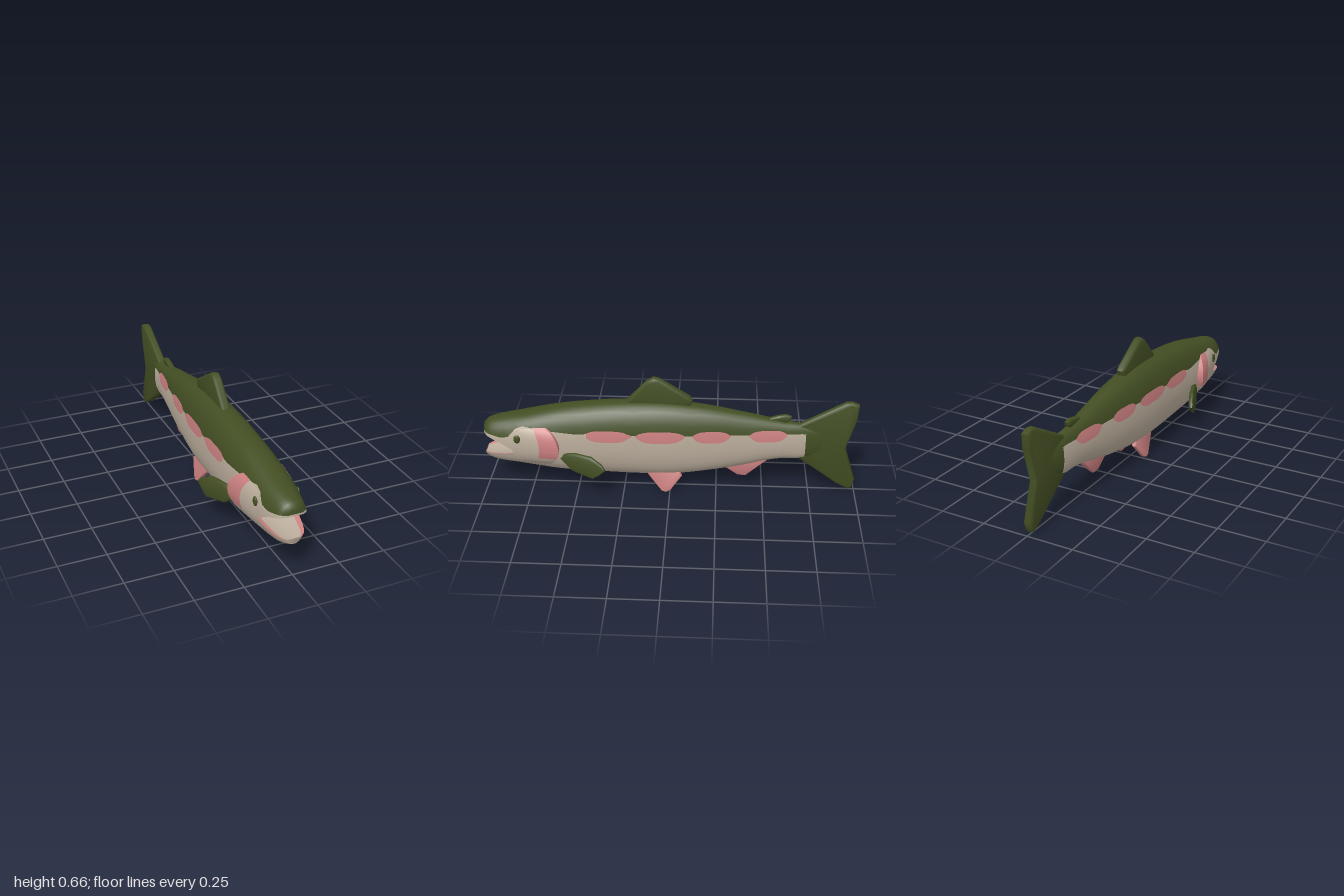
import * as THREE from 'three';
import { toCreasedNormals } from 'three/addons/utils/BufferGeometryUtils.js';

const mat = (name, color) => {
  const m = new THREE.MeshStandardMaterial({ color, side: THREE.DoubleSide });
  m.name = name;
  return m;
};

// smooth or straight interpolation of [z, value] pairs, z ascending
const curve = (pairs, Kind = THREE.CubicInterpolant) => {
  const f = new Kind(pairs.map(p => p[0]), pairs.map(p => p[1]), 1);
  return z => f.evaluate(z)[0];
};
const line = pairs => curve(pairs, THREE.LinearInterpolant);

// body profiles along z
const top = curve([[-0.86, 0.37], [-0.7, 0.405], [-0.6, 0.42], [-0.4, 0.46], [-0.2, 0.497], [0, 0.518],
  [0.2, 0.52], [0.4, 0.506], [0.6, 0.48], [0.8, 0.436], [0.94, 0.405], [0.98, 0.39], [1, 0.37]]);
const bottom = curve([[-0.86, 0.24], [-0.7, 0.197], [-0.6, 0.195], [-0.5, 0.178], [-0.4, 0.152], [-0.2, 0.113],
  [0, 0.087], [0.2, 0.087], [0.4, 0.095], [0.6, 0.106], [0.8, 0.138], [0.96, 0.16], [1, 0.178]]);
const width = curve([[-0.86, 0.014], [-0.7, 0.04], [-0.6, 0.052], [-0.4, 0.074], [-0.2, 0.095], [0, 0.11],
  [0.2, 0.116], [0.6, 0.117], [0.8, 0.112], [0.9, 0.097], [0.96, 0.083], [0.98, 0.074], [1, 0.05]]);
// lower edge of the green back, and the edges of the mouth
const backEdge = line([[-0.86, 0.33], [-0.7, 0.36], [-0.2, 0.367], [0.5, 0.368], [0.66, 0.38], [0.78, 0.395],
  [0.82, 0.38], [0.86, 0.335], [0.9, 0.325], [1, 0.34]]);
const upperLip = line([[-0.86, 0.27], [-0.7, 0.24], [0.82, 0.24], [0.86, 0.27], [0.92, 0.3], [1, 0.33]]);
const lowerLip = line([[-0.86, 0.27], [-0.7, 0.24], [0.82, 0.24], [0.88, 0.225], [1, 0.208]]);

// half width of the rounded section at height y
const sideX = (y, z) => {
  const t = Math.abs((2 * y - top(z) - bottom(z)) / (top(z) - bottom(z)));
  return width(z) * Math.pow(Math.max(0, 1 - Math.pow(t, 2.3)), 1 / 2.3);
};

// pink blotches along the flank: [centre, half length]
const blotches = [[0.33, 0.12], [0.05, 0.13], [-0.22, 0.1], [-0.52, 0.1]];
const blotch = z => Math.max(0, ...blotches.map(([c, h]) => 1 - Math.pow(Math.abs(z - c) / h, 4)));

// collects quads by material index and makes one mesh
function surface(name, materials) {
  const lists = materials.map(() => []);
  return {
    quad(m, a, b, c, d, flip) {
      const q = flip ? [d, c, b, a] : [a, b, c, d];
      for (const k of [0, 1, 2, 0, 2, 3]) lists[m].push(...q[k]);
    },
    mesh() {
      const g = new THREE.BufferGeometry();
      g.setAttribute('position', new THREE.Float32BufferAttribute(lists.flat(), 3));
      let start = 0;
      lists.forEach((l, i) => { g.addGroup(start, l.length / 3, i); start += l.length / 3; });
      const mesh = new THREE.Mesh(toCreasedNormals(g, 1.0), materials);
      mesh.name = name;
      return mesh;
    },
  };
}

// heights of the section rows from back to belly
function rows(z) {
  const p = blotch(z), u = backEdge(z) + 0.022 * p, l = Math.min(u - 0.008, backEdge(z) - 0.008 - 0.036 * p);
  const t = top(z), b = bottom(z), ul = upperLip(z), ll = lowerLip(z), ys = [];
  for (let k = 0; k <= 6; k++) ys.push(t - (t - u) * (k / 6) ** 2);
  for (let k = 0; k <= 4; k++) ys.push(l + (ul - l) * k / 4);
  for (let k = 0; k <= 7; k++) ys.push(b + (ll - b) * (1 - k / 7) ** 2);
  return ys;
}

function body(mats) {
  const s = surface('body', mats), n = 93, stations = [];
  for (let i = 0; i <= n; i++) {
    const z = -0.86 + 0.02 * i;
    stations.push(rows(z).map(y => [sideX(y, z), y, z]));
  }
  const mirror = p => [-p[0], p[1], p[2]];
  const count = stations[0].length;
  for (let j = 0; j < count - 1; j++) {
    if (j === 11 - 1 + 1) continue; // mouth opening
    for (let i = 0; i < n; i++) {
      const z = -0.85 + 0.02 * i;
      const m = z < -0.715 || j < 6 ? 0 : j === 6 && blotch(z) > 0 ? 2 : 1;
      const q = [stations[i][j], stations[i + 1][j], stations[i + 1][j + 1], stations[i][j + 1]];
      s.quad(m, ...q, false);
      s.quad(m, ...q.map(mirror), true);
    }
    // jaw tips
    const a = stations[n][j], b = stations[n][j + 1];
    s.quad(j < 6 ? 0 : 1, a, mirror(a), mirror(b), b, false);
  }
  return s.mesh();
}

// mouth lining: pink palate above, pale floor below, meeting at the throat
function mouth(mats) {
  const s = surface('mouthLining', mats);
  for (const up of [true, false]) {
    const point = (i, j) => {
      if (i === 0) return [0, 0.28, 0.7];
      const z = 0.8 + 0.02 * i, u = j / 4 - 1;
      const y = up ? upperLip(z) : lowerLip(z);
      const bow = up ? 0.3 * (top(z) - y) : 0.3 * (bottom(z) - y);
      return [u * sideX(y, z), y + bow * (1 - u * u), z];
    };
    for (let i = 0; i < 10; i++) for (let j = 0; j < 8; j++) {
      const m = up || j === 0 || j === 7 ? 2 : 1;
      s.quad(m, point(i, j), point(i, j + 1), point(i + 1, j + 1), point(i + 1, j), !up);
    }
  }
  return s.mesh();
}

// flared cheek and gill cover with a pink rear edge
function gillCover(mats, side) {
  const s = surface(side > 0 ? 'leftGillCover' : 'rightGillCover', mats), nu = 12, nv = 12;
  const point = (i, j) => {
    const u = Math.min(i, nu) / nu, v = j / nv;
    const b = Math.pow(Math.max(0, Math.sin(Math.PI * v)), 0.7);
    const y = 0.165 + 0.235 * v, z = 0.84 + (0.66 - 0.075 * b - 0.84) * u;
    const out = i > nu ? -0.01 : -0.004 + 0.04 * u * b;
    return [side * (sideX(y, z) + out), y, z];
  };
  for (let i = 0; i <= nu; i++) for (let j = 0; j < nv; j++) {
    const pink = i >= 7 && j >= 3;
    s.quad(pink ? 2 : 1, point(i, j), point(i, j + 1), point(i + 1, j + 1), point(i + 1, j), side < 0);
  }
  return s.mesh();
}

// fin from a [z, y] outline, bevelled, then moved sideways by a rule
function fin(name, material, outline, thick, bevel, shift = () => 0) {
  const shape = new THREE.Shape(outline.map(p => new THREE.Vector2(...p)));
  const t = thick * 0.35;
  const g = new THREE.ExtrudeGeometry(shape, {
    depth: thick - 2 * t, bevelThickness: t, bevelSize: bevel, bevelOffset: -bevel, bevelSegments: 2,
  });
  g.translate(0, 0, t - thick / 2).rotateY(-Math.PI / 2);
  const p = g.attributes.position;
  for (let i = 0; i < p.count; i++) p.setX(i, p.getX(i) + shift(p.getZ(i), p.getY(i)));
  const mesh = new THREE.Mesh(toCreasedNormals(g, 0.9), material);
  mesh.name = name;
  return mesh;
}

export function createModel() {
  const green = mat('olive green', 0x434e23);
  const pale = mat('pale belly', 0xbbad9c);
  const pink = mat('salmon pink', 0xcb8080);
  const mats = [green, pale, pink];
  const fish = new THREE.Group();
  fish.name = 'fish';
  fish.add(body(mats), mouth(mats));

  // fins on the centre line
  fish.add(
    fin('dorsalFin', green, [[0.24, 0.5], [0.23, 0.525], [0.125, 0.64], [0.09, 0.66], [0.06, 0.653],
      [-0.1, 0.555], [-0.118, 0.535], [-0.1, 0.48]], 0.048, 0.014),
    fin('adiposeFin', green, [[-0.48, 0.42], [-0.57, 0.45], [-0.61, 0.457], [-0.64, 0.447], [-0.635, 0.425],
      [-0.6, 0.4]], 0.028, 0.007),
    fin('tailFin', green, [[-0.66, 0.39], [-0.7, 0.412], [-0.92, 0.537], [-0.95, 0.54], [-0.99, 0.525],
      [-0.985, 0.44], [-0.937, 0.265], [-1, 0.07], [-0.985, 0.02], [-0.965, 0.012], [-0.9, 0.045],
      [-0.7, 0.19], [-0.66, 0.215]], 0.044, 0.012),
    fin('analFin', pink, [[-0.28, 0.16], [-0.3, 0.125], [-0.365, 0.08], [-0.41, 0.078], [-0.535, 0.19],
      [-0.5, 0.21]], 0.034, 0.01),
  );

  // paired parts
  for (const s of [1, -1]) {
    const label = s > 0 ? 'left' : 'right';
    fish.add(
      gillCover(mats, s),
      fin(label + 'PectoralFin', green, [[0.585, 0.215], [0.56, 0.25], [0.5, 0.262], [0.41, 0.26], [0.35, 0.225],
        [0.335, 0.2], [0.37, 0.165], [0.405, 0.138], [0.52, 0.16]], 0.026, 0.01,
      (z, y) => s * (0.108 + (0.58 - z) * 0.36 - (y - 0.2) * 0.1)),
      fin(label + 'PelvicFin', pink, [[0.13, 0.12], [0.115, 0.095], [0.045, 0.01], [0.02, 0.003], [-0.005, 0.015],
        [-0.065, 0.095], [-0.05, 0.125]], 0.028, 0.01,
      (z, y) => s * (0.078 - y * 0.25)),
    );
    const eye = new THREE.Mesh(new THREE.SphereGeometry(1, 16, 10), green);
    eye.name = label + 'Eye';
    eye.scale.set(0.009, 0.025, 0.018);
    eye.position.set(s * (sideX(0.328, 0.81) + 0.003), 0.328, 0.81);
    fish.add(eye);
  }
  return fish;
}
